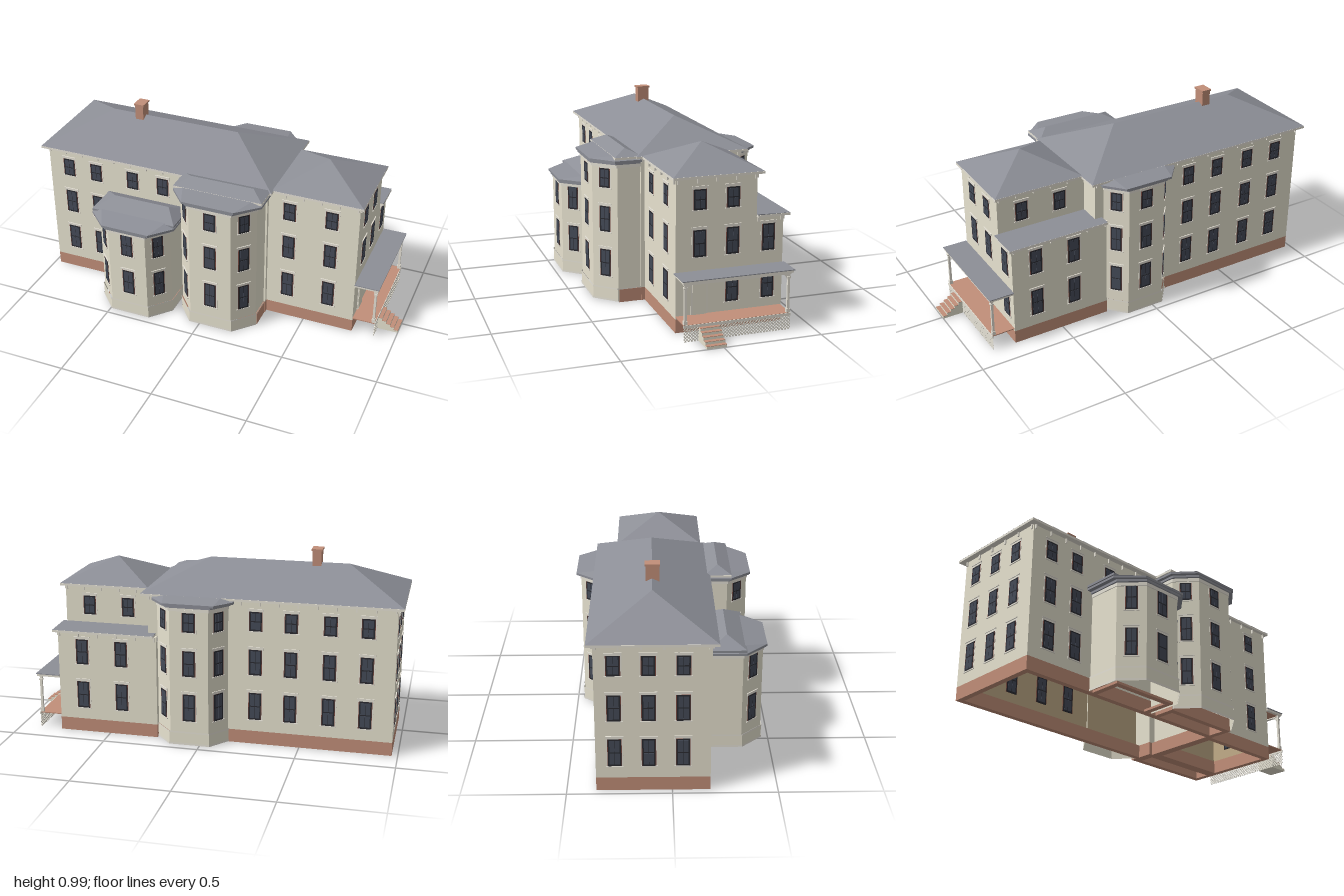
import * as THREE from 'three';
import { ConvexGeometry } from 'three/addons/geometries/ConvexGeometry.js';

const mat = (name, color, side = THREE.FrontSide) =>
  Object.assign(new THREE.MeshStandardMaterial({ color, side }), { name });
const wall = mat('cream wall', 0xe9e4d1, THREE.DoubleSide), trim = mat('pale trim', 0xe6e2d6, THREE.DoubleSide),
  roofing = mat('slate roof', 0x8d8f97), brick = mat('brick', 0xc28f79), glass = mat('dark glass', 0x454b58),
  sash = mat('black sash', 0x2a2b31), reveal = mat('red brown reveal', 0x7a4c42),
  inside = mat('tan interior', 0xc2ac88, THREE.DoubleSide);

const unit = new THREE.BoxGeometry(1, 1, 1);
// Box without its underside, for hollow wings
const shell = unit.clone();
shell.setIndex([...unit.index.array].filter((_, i) => i < 18 || i > 23));
shell.clearGroups();
const FLOORS = [[0.133, 0.277], [0.373, 0.507], [0.605, 0.705]];

export function createModel() {
  const root = new THREE.Group();
  root.name = 'house';

  const add = (name, geo, m, parent = root) => {
    const mesh = new THREE.Mesh(geo, m);
    mesh.name = name;
    parent.add(mesh);
    return mesh;
  };
  // Box given by its lower and upper corners
  const box = (name, m, [x0, y0, z0], [x1, y1, z1], parent, geo = unit) => {
    const b = add(name, geo, m, parent);
    b.scale.set(x1 - x0, y1 - y0, z1 - z0);
    b.position.set((x0 + x1) / 2, (y0 + y1) / 2, (z0 + z1) / 2);
    return b;
  };
  // Vertical prism over a plan of [x, z] points
  const prism = (name, m, plan, y0, y1) => {
    const shape = new THREE.Shape(plan.map(([x, z]) => new THREE.Vector2(x, -z)));
    const g = new THREE.ExtrudeGeometry(shape, { depth: y1 - y0, bevelEnabled: false });
    g.rotateX(-Math.PI / 2).translate(0, y0, 0);
    add(name, g, m);
  };
  // Open run of upright panels along a plan
  const panels = (name, m, plan, y0, y1) => {
    const p = [];
    for (let i = 0; i < plan.length - 1; i++) {
      const [a, b] = plan[i], [c, d] = plan[i + 1];
      p.push(a, y0, b, c, y0, d, c, y1, d, a, y0, b, c, y1, d, a, y1, b);
    }
    const g = new THREE.BufferGeometry();
    g.setAttribute('position', new THREE.Float32BufferAttribute(p, 3));
    g.computeVertexNormals();
    add(name, g, m);
  };
  // Sloping roof from an eave plan up to ridge points, with a fascia below
  const roof = (name, plan, y, ridge, ridgeY, fascia = trim) => {
    const pts = [...plan.map(([x, z]) => new THREE.Vector3(x, y, z)),
      ...ridge.map(([x, z]) => new THREE.Vector3(x, ridgeY, z))];
    add(name, new ConvexGeometry(pts), roofing);
    prism(name + 'Fascia', fascia, plan, y - 0.012, y - 0.0005);
  };
  const rect = (x0, x1, z0, z1) => [[x0, z0], [x0, z1], [x1, z1], [x1, z0]];

  // Sash window on a wall point, facing angle a
  const win = (x, z, a, floor, w = 0.068) => {
    const [y0, y1] = FLOORS[floor], g = new THREE.Group(), h = w / 2, mid = (y0 + y1) / 2;
    g.name = 'window';
    g.position.set(x, 0, z);
    g.rotation.y = a;
    root.add(g);
    box('casing', trim, [-h - 0.006, y0, -0.002], [h + 0.006, y1 + 0.014, 0.001], g);
    box('reveal', reveal, [-h, y0, -0.007], [h, y1, 0.002], g);
    box('sash', sash, [-h + 0.003, y0, -0.008], [h - 0.003, y1, 0.003], g);
    for (const [b, t] of [[y0 + 0.009, mid - 0.003], [mid + 0.003, y1 - 0.007]])
      for (const s of [-1, 1]) {
        const c = s * (h - 0.009) / 2, q = (h - 0.009) / 2 - 0.001;
        box('pane', glass, [c - q, b, -0.009], [c + q, t, 0.004], g);
      }
    box('sill', trim, [-h - 0.007, y0 - 0.006, -0.002], [h + 0.007, y0, 0.005], g);
    box('head', trim, [-h - 0.008, y1 + 0.012, -0.002], [h + 0.008, y1 + 0.016, 0.005], g);
  };

  // Rectangular wing: open brick foundation ring, hollow walls with tan lining
  const block = (name, x0, x1, z0, z1, top) => {
    const t = 0.03, y = 0.07, e = 0.004;
    box(name + 'Foundation', brick, [x0, 0, z0], [x1, y, z0 + t]);
    box(name + 'Foundation', brick, [x0, 0, z1 - t], [x1, y, z1]);
    box(name + 'Foundation', brick, [x0, 0, z0 + t], [x0 + t, y, z1 - t]);
    box(name + 'Foundation', brick, [x1 - t, 0, z0 + t], [x1, y, z1 - t]);
    box(name + 'Walls', wall, [x0, y, z0], [x1, top, z1], root, shell);
    box(name + 'Lining', inside, [x0 + e, y, z0 + e], [x1 - e, top - e, z1 - e], root, shell);
    // Eave brackets along all four sides
    const w = x1 - x0, d = z1 - z0, nx = Math.round(w / 0.1), nz = Math.round(d / 0.1);
    const bracket = (x, z) => box('bracket', trim, [x - 0.003, top - 0.024, z - 0.005], [x + 0.003, top, z + 0.005]);
    for (let i = 0; i <= nx; i++) for (const z of [z0 - 0.004, z1 + 0.004]) bracket(x0 + 0.01 + (w - 0.02) * i / nx, z);
    for (let i = 0; i <= nz; i++) for (const x of [x0 - 0.004, x1 + 0.004]) bracket(x, z0 + 0.01 + (d - 0.02) * i / nz);
  };

  // Main block, side wing and lower rear annex
  block('main', -0.97, 0.29, -0.36, 0.18, 0.76);
  roof('mainRoof', rect(-1, 0.32, -0.39, 0.21), 0.772, [[-0.7, -0.09], [0.02, -0.09]], 0.912);
  block('wing', 0.28, 0.77, -0.25, 0.16, 0.76);
  roof('wingRoof', rect(0.31, 0.79, -0.28, 0.18), 0.772, [[0.54, -0.05]], 0.882);
  block('annex', 0.24, 0.77, -0.39, -0.25, 0.545);
  roof('annexRoof', rect(0.25, 0.79, -0.418, -0.25), 0.557, [[0.25, -0.25], [0.79, -0.25]], 0.562);

  // Polygonal bay: walls, stone base, cornice, sloping hood, windows on its three outer faces
  const bay = (name, plan, top, eave, ridge, ridgeY, floors) => {
    const cx = plan.reduce((s, p) => s + p[0], 0) / plan.length;
    const sgn = Math.sign(plan[2][1]);
    const grow = (e) => plan.map(([x, z]) => [x + Math.sign(x - cx) * e, z + sgn * e]);
    panels(name + 'Walls', wall, plan, 0.07, top);
    panels(name + 'Base', wall, grow(0.004), 0.004, 0.07);
    panels(name + 'BaseMoulding', trim, grow(0.006), 0.068, 0.076);
    panels(name + 'Plinth', trim, grow(0.006), 0.004, 0.014);
    prism(name + 'Frieze', trim, grow(0.004), top - 0.03, top - 0.012);
    prism(name + 'Cornice', roofing, grow(0.012), top - 0.012, top);
    roof(name + 'Hood', eave, top + 0.012, ridge, ridgeY, roofing);
    const n = plan.length / 2;
    for (let i = n - 2; i <= n; i++) {
      const [ax, az] = plan[i], [bx, bz] = plan[i + 1];
      for (let f = 0; f < floors; f++)
        win((ax + bx) / 2, (az + bz) / 2, Math.atan2(az - bz, bx - ax), f, i === n - 1 ? 0.068 : 0.062);
    }
  };
  bay('lowBay', [[-0.585, 0.17], [-0.585, 0.355], [-0.485, 0.46], [-0.275, 0.46], [-0.18, 0.355], [-0.18, 0.17]], 0.53,
    [[-0.62, 0.18], [-0.62, 0.37], [-0.51, 0.478], [-0.25, 0.478], [-0.15, 0.37], [-0.15, 0.18]],
    [[-0.57, 0.36], [-0.2, 0.36]], 0.562);
  bay('tallBay', [[-0.14, 0.17], [-0.14, 0.3], [-0.05, 0.405], [0.18, 0.405], [0.28, 0.3], [0.28, 0.17]], 0.743,
    [[-0.17, 0.18], [-0.17, 0.32], [-0.08, 0.423], [0.2, 0.423], [0.31, 0.32], [0.31, 0.18]],
    [[-0.12, 0.31], [0.26, 0.31]], 0.772, 3);
  bay('rearBay', [[0.24, -0.35], [0.24, -0.36], [0.15, -0.46], [-0.05, -0.46], [-0.13, -0.36], [-0.13, -0.35]], 0.743,
    [[0.26, -0.35], [0.26, -0.39], [0.18, -0.483], [-0.08, -0.483], [-0.16, -0.39], [-0.16, -0.35]],
    [[0.2, -0.37], [-0.1, -0.37]], 0.775, 3);
  // Hipped roofs over the square parts of the front bays
  roof('lowBayRoof', rect(-0.62, -0.15, 0.18, 0.37), 0.558, [[-0.53, 0.275], [-0.22, 0.275]], 0.605, roofing);
  roof('tallBayRoof', rect(-0.17, 0.31, 0.18, 0.32), 0.772, [[-0.1, 0.25], [0.24, 0.25]], 0.806);
  // Brick foundations of the front bays
  for (const [x0, x1, z, h] of [[-0.147, 0.287, 0.297, 0.069], [-0.57, -0.195, 0.35, 0.012]]) {
    box('bayFoundation', brick, [x0, 0, 0.18], [x0 + 0.03, h, z]);
    box('bayFoundation', brick, [x1 - 0.03, 0, 0.18], [x1, h, z]);
    box('bayFoundation', brick, [x0 + 0.03, 0, z - 0.03], [x1 - 0.03, h, z]);
  }

  // Windows on the flat walls
  const B = Math.PI, R = Math.PI / 2;
  for (let f = 0; f < 3; f++) {
    for (const x of [-0.853, -0.69]) win(x, 0.18, 0, f);
    for (const x of [0.404, 0.628]) win(x, 0.16, 0, f);
    for (const x of [-0.83, -0.645, -0.45, -0.27]) win(x, -0.36, B, f);
    for (const z of [-0.27, -0.11, 0.05]) win(-0.97, z, -R, f);
    for (const x of [0.43, 0.64]) win(x, f < 2 ? -0.39 : -0.25, B, f);
    win(0.77, -0.128, R, f);
    if (f > 0) win(0.77, 0.04, R, f);
    if (f < 2) win(0.77, -0.313, R, f);
  }
  for (const x of [-0.473, -0.297]) win(x, 0.18, 0, 2);
  // Low bay windows
  for (let f = 0; f < 2; f++) {
    win(-0.38, 0.46, 0, f);
    win(-0.535, 0.4075, Math.atan2(-0.105, 0.1), f, 0.062);
    win(-0.2275, 0.4075, Math.atan2(0.105, 0.095), f, 0.062);
  }

  // Chimney
  box('chimney', brick, [-0.558, 0.85, -0.12], [-0.512, 0.975, -0.055]);
  box('chimneyCap', brick, [-0.563, 0.975, -0.124], [-0.507, 0.985, -0.051]);

  // Porch: deck, flat roof, door, posts with brackets
  box('porchDeck', brick, [0.77, 0.08, -0.385], [0.89, 0.085, 0.16]);
  box('porchDeckEdge', trim, [0.887, 0.07, -0.387], [0.893, 0.084, 0.162]);
  box('porchCeiling', brick, [0.77, 0.286, -0.38], [0.885, 0.289, 0.15]);
  box('porchBeam', trim, [0.872, 0.28, -0.385], [0.888, 0.289, 0.16]);
  box('porchFascia', trim, [0.77, 0.289, -0.395], [0.897, 0.301, 0.165]);
  box('porchRoof', roofing, [0.77, 0.301, -0.4], [0.9, 0.305, 0.17]);
  box('doorFrame', trim, [0.768, 0.085, -0.002], [0.774, 0.278, 0.082]);
  box('door', wall, [0.768, 0.085, 0.005], [0.777, 0.27, 0.075]);
  const curve = new THREE.Shape();
  curve.moveTo(0, 0).lineTo(0.03, 0).quadraticCurveTo(0.006, -0.004, 0, -0.035);
  const bracketGeo = new THREE.ExtrudeGeometry(curve, { depth: 0.006, bevelEnabled: false, curveSegments: 5 });
  for (const [z, s] of [[0.15, 1], [-0.375, -1]]) {
    box('porchPost', trim, [0.875, 0.085, z - 0.006], [0.887, 0.28, z + 0.006]);
    box('postFoot', trim, [0.872, 0.085, z - 0.009], [0.89, 0.105, z + 0.009]);
    box('postCap', trim, [0.872, 0.262, z - 0.009], [0.89, 0.27, z + 0.009]);
    const b = add('postBracket', bracketGeo, trim);
    b.rotation.y = s * R;
    b.position.set(s > 0 ? 0.878 : 0.884, 0.28, z - s * 0.005);
  }

  // Crossed lattice under the deck edge, trimmed at both ends
  for (let c = -0.445; c < 0.15; c += 0.016)
    for (const s of [-1, 1]) {
      const a = Math.max(c, -0.385), b = Math.min(c + 0.07, 0.16), m = (a + b) / 2;
      const bar = add('lattice', unit, trim);
      bar.scale.set(0.003, (b - a) * Math.SQRT2, 0.004);
      bar.position.set(0.889, m - c, s > 0 ? m : -0.225 - m);
      bar.rotation.x = s * Math.PI / 4;
    }

  // Porch steps with brick treads
  for (let i = 0; i < 5; i++) {
    const x = 0.89 + i * 0.022, y = 0.07 - i * 0.014;
    box('step', wall, [x, 0, -0.015], [x + 0.022, y - 0.002, 0.085]);
    box('tread', brick, [x, y - 0.002, -0.015], [x + 0.022, y, 0.085]);
  }
  return root;
}
